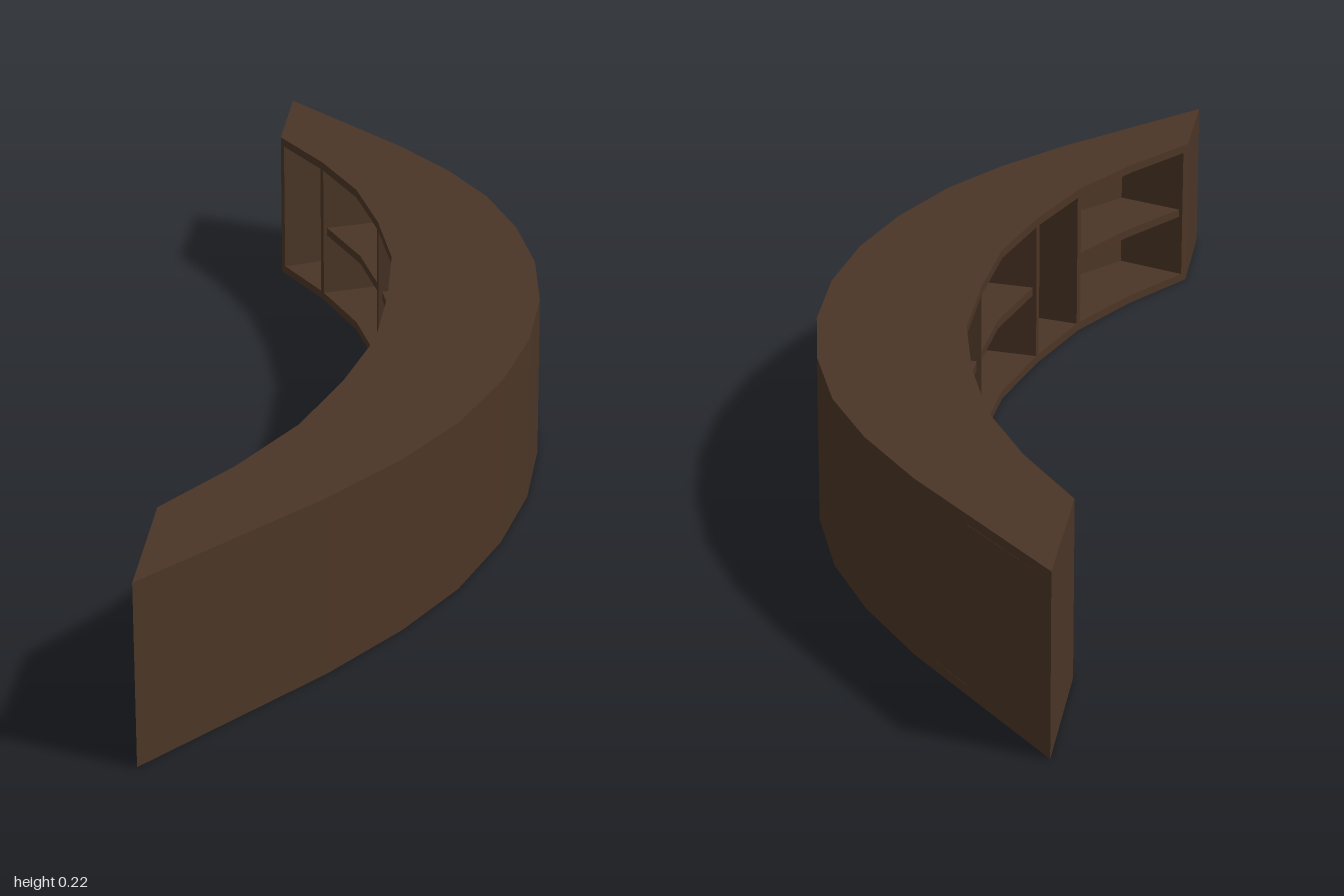
import * as THREE from 'three';

const H = 0.22;        // overall height
const T = 0.012;       // board thickness
const WALL = 0.015;    // curved wall thickness
const CX = -1.52;      // x of the arc centre

// half plans [x, z] from the middle to the end; mirrored in z below
const innerHalf = [[0.005, 0], [0, 0.175], [-0.03, 0.34], [-0.072, 0.5], [-0.135, 0.645], [-0.21, 0.78]];
const outerHalf = [[0.21, 0], [0.2, 0.165], [0.17, 0.325], [0.122, 0.48], [0.06, 0.61], [-0.02, 0.74], [-0.21, 1]];
const depths = [0.205, 0.197, 0.187, 0.17, 0.145, 0.13]; // radial depth at each inner point

const flip = ([x, z]) => [x, -z];
const mirror = (half) => [...half.slice(1).reverse().map(flip), ...half];

// point moved by d away from the arc centre
function radial([x, z], d) {
  const r = Math.hypot(x - CX, z);
  return [x + (x - CX) / r * d, z + z / r * d];
}

export function createModel() {
  const group = new THREE.Group();
  group.name = 'curvedCounter';
  const wood = new THREE.MeshStandardMaterial({ color: 0x4b3526 });

  // flat board: a plan outline raised from y0 by h
  function board(name, plan, y0, h) {
    const shape = new THREE.Shape(plan.map(([x, z]) => new THREE.Vector2(x, -z)));
    const geo = new THREE.ExtrudeGeometry(shape, { depth: h, bevelEnabled: false });
    geo.rotateX(-Math.PI / 2).translate(0, y0, 0);
    const mesh = new THREE.Mesh(geo, wood);
    mesh.name = name;
    group.add(mesh);
  }

  const inner = mirror(innerHalf);
  const outer = mirror(outerHalf);
  const depth = [...depths.slice(1).reverse(), ...depths];
  const back = inner.map((p, i) => radial(p, depth[i] - WALL));

  // counter top and floor
  const plan = [...inner, ...[...outer].reverse()];
  board('counterTop', plan, H - T, T);
  board('floorBoard', plan, 0, T);

  // curved front wall on the outside of the arc
  const wallInside = [...back].reverse();
  board('curvedWall', [...outer.slice(1, -1), radial(inner[10], 0.13), ...wallInside, radial(inner[0], 0.13)], T, H - 2 * T);

  // solid wedge closing each end
  for (const side of [-1, 1]) {
    const a = innerHalf[5];
    const wedge = [a, outerHalf[6], radial(a, 0.131), radial([a[0] + 0.006, a[1] - T], 0.13), [a[0] + 0.006, a[1] - T]];
    board('endPanel', wedge.map(([x, z]) => [x, z * side]), T, H - 2 * T);
  }

  // upright dividers, set radially
  const uprights = [1, 3, 5, 7, 8];
  for (const i of uprights) {
    const [x, z] = inner[i];
    const r = Math.hypot(x - CX, z);
    const [nx, nz] = [-z / r * T / 2, (x - CX) / r * T / 2];
    const [bx, bz] = back[i];
    board('divider', [[x + nx, z + nz], [bx + nx, bz + nz], [bx - nx, bz - nz], [x - nx, z - nz]], T, H - 2 * T);
  }

  // middle shelves in the wide bays
  for (const [a, b] of [[1, 3], [3, 5], [5, 7], [8, 10]]) {
    const edge = inner.slice(a, b + 1).map((p) => radial(p, 0.006));
    board('shelf', [...edge, ...back.slice(a, b + 1).reverse()], H / 2 - T / 2, T);
  }

  return group;
}
